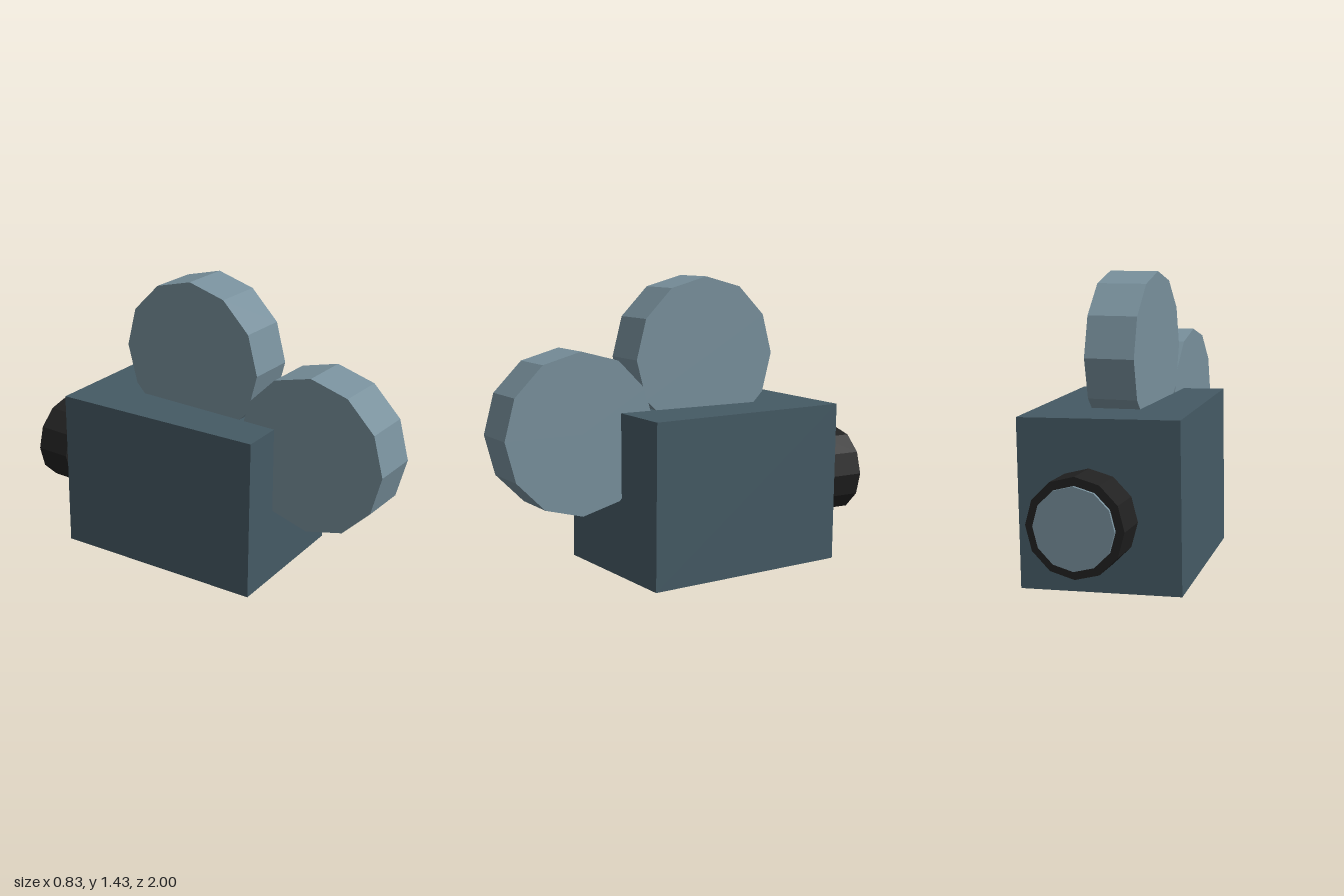
import * as THREE from 'three';

const paint = (color) => new THREE.MeshStandardMaterial({ color, flatShading: true });

export function createModel() {
  const model = new THREE.Group();
  const bodyPaint = paint(0x455a64);
  const lightPaint = paint(0x78909c);
  const blackPaint = paint(0x212121);

  const add = (name, geometry, material, x, y, z) => {
    const mesh = new THREE.Mesh(geometry, material);
    mesh.name = name;
    mesh.position.set(x, y, z);
    model.add(mesh);
    return mesh;
  };

  // Camera body, set slightly askew
  const body = add('body', new THREE.BoxGeometry(0.757, 0.796, 1.077), bodyPaint, 0, 0.409, -0.125);
  body.rotation.set(0, 0.058, -0.0175);

  // Two twelve-sided film reels, axles running left to right
  const reelGeometry = new THREE.CylinderGeometry(0.387, 0.387, 0.24, 12).rotateZ(Math.PI / 2);
  add('upperReel', reelGeometry, lightPaint, -0.01, 1.05, -0.065);
  add('rearReel', reelGeometry, lightPaint, -0.01, 0.72, 0.613);

  // Lens: flared cone, barrel and dark ring along -z
  const lensPart = (name, outer, inner, zNear, zFar, material) => {
    const geometry = new THREE.CylinderGeometry(inner, outer, zNear - zFar, 12).rotateX(Math.PI / 2);
    add(name, geometry, material, -0.034, 0.386, (zNear + zFar) / 2);
  };
  lensPart('lensCone', 0.185, 0.01, -0.6, -0.8, lightPaint);
  lensPart('lensBarrel', 0.185, 0.185, -0.8, -1, lightPaint);
  lensPart('lensRing', 0.224, 0.224, -0.798, -0.985, blackPaint);

  return model;
}
